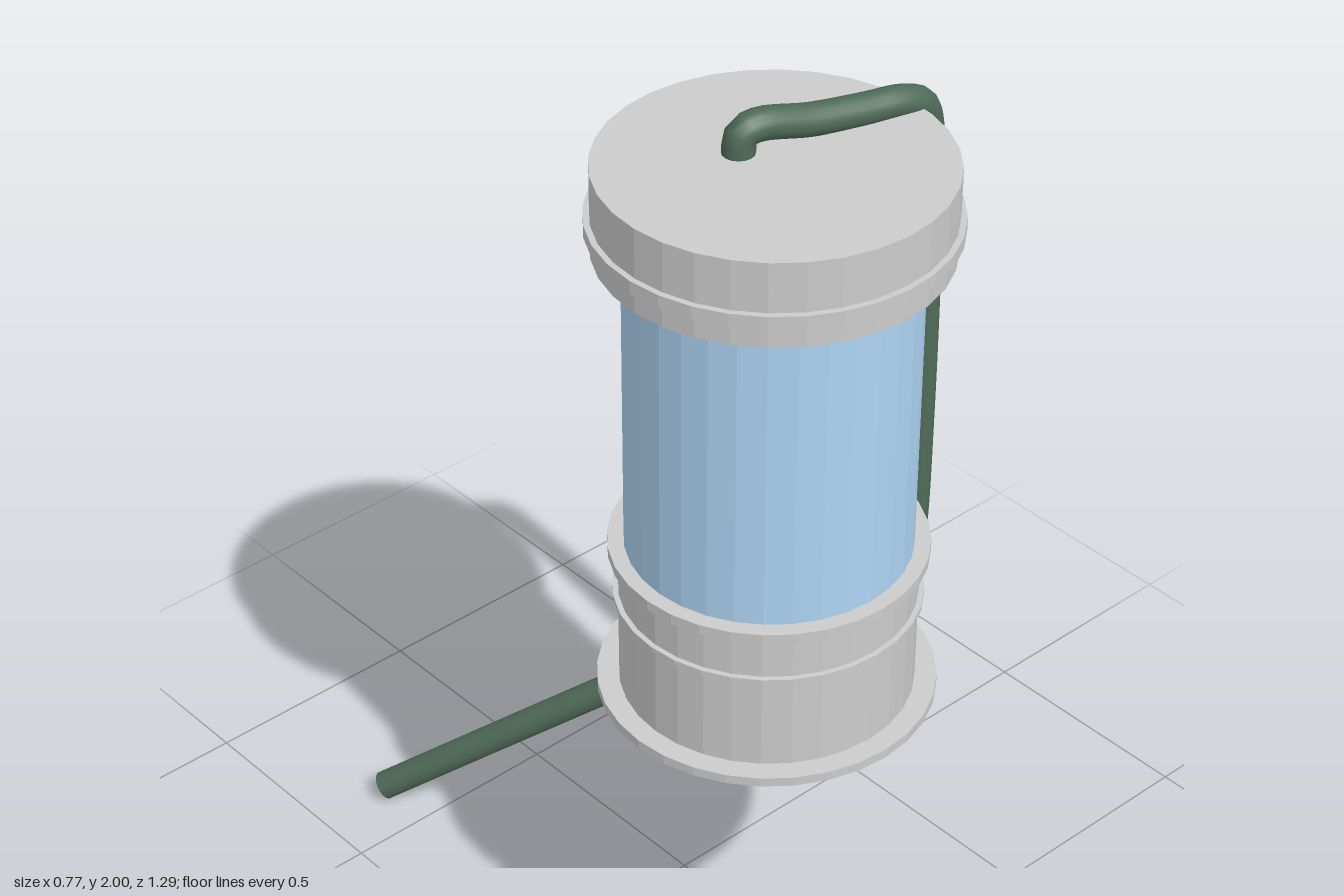
import * as THREE from 'three';

const AXIS_X = -0.04, AXIS_Z = 0.29, SIDES = 32;
const v = (x, y, z) => new THREE.Vector3(x, y, z);

export function createModel() {
  const model = new THREE.Group();
  const grey = new THREE.MeshStandardMaterial({ color: 0xcccccc, flatShading: true });
  const blue = new THREE.MeshStandardMaterial({ color: 0xaed4f3, flatShading: true });
  const green = new THREE.MeshStandardMaterial({ color: 0x4f6b58 });

  const canister = new THREE.Group();
  canister.name = 'canister';
  canister.position.set(AXIS_X, 0, AXIS_Z);
  model.add(canister);

  // Turned parts, each a profile of [radius, height] from bottom to top
  function turned(name, profile, material) {
    const points = profile.map(([r, y]) => new THREE.Vector2(r, y));
    const mesh = new THREE.Mesh(new THREE.LatheGeometry(points, SIDES), material);
    mesh.name = name;
    canister.add(mesh);
  }

  // Base with bottom flange, thin band and upper collar
  turned('base', [
    [0, 0.73], [0.339, 0.73], [0.339, 0.75], [0.295, 0.75],
    [0.295, 0.955], [0.306, 0.955], [0.306, 0.966], [0.295, 0.966],
    [0.295, 1.06], [0.315, 1.06], [0.315, 1.082], [0, 1.082],
  ], grey);

  // Transparent-looking tank wall
  turned('tank', [[0.283, 1.08], [0.283, 1.745]], blue);

  // Lid with a raised rim
  turned('lid', [
    [0, 1.744], [0.339, 1.744], [0.339, 1.79], [0.351, 1.79],
    [0.351, 1.817], [0.339, 1.817], [0.339, 1.92], [0, 1.92],
  ], grey);

  // Hose: out of the lid, over the edge, down the side and away to the back
  const hose = new THREE.Group();
  hose.name = 'hose';
  model.add(hose);
  const radius = 0.032;
  const path = new THREE.CatmullRomCurve3([
    v(-0.066, 1.88, 0.22), v(-0.066, 1.93, 0.22), v(-0.06, 1.957, 0.221), v(-0.03, 1.967, 0.228),
    v(0.08, 1.948, 0.256), v(0.19, 1.938, 0.282), v(0.27, 1.932, 0.299), v(0.315, 1.912, 0.303),
    v(0.337, 1.87, 0.3), v(0.35, 1.72, 0.297), v(0.352, 1.5, 0.3), v(0.348, 1.2, 0.305),
    v(0.345, 0.92, 0.303), v(0.348, 0.83, 0.288), v(0.338, 0.75, 0.235), v(0.31, 0.69, 0.16),
    v(0.26, 0.633, 0.085), v(0.16, 0.532, -0.035), v(-0.1, 0.27, -0.34), v(-0.34, 0.027, -0.62),
  ], false, 'centripetal');
  const tube = new THREE.Mesh(new THREE.TubeGeometry(path, 160, radius, 16), green);
  tube.name = 'hoseTube';
  hose.add(tube);

  // Discs closing both hose ends
  for (const t of [0, 1]) {
    const end = new THREE.Mesh(new THREE.CircleGeometry(radius, 16), green);
    const outward = path.getTangentAt(t).multiplyScalar(t ? 1 : -1);
    end.name = t ? 'hoseTip' : 'hoseRoot';
    end.position.copy(path.getPointAt(t));
    end.quaternion.setFromUnitVectors(v(0, 0, 1), outward);
    hose.add(end);
  }
  return model;
}
